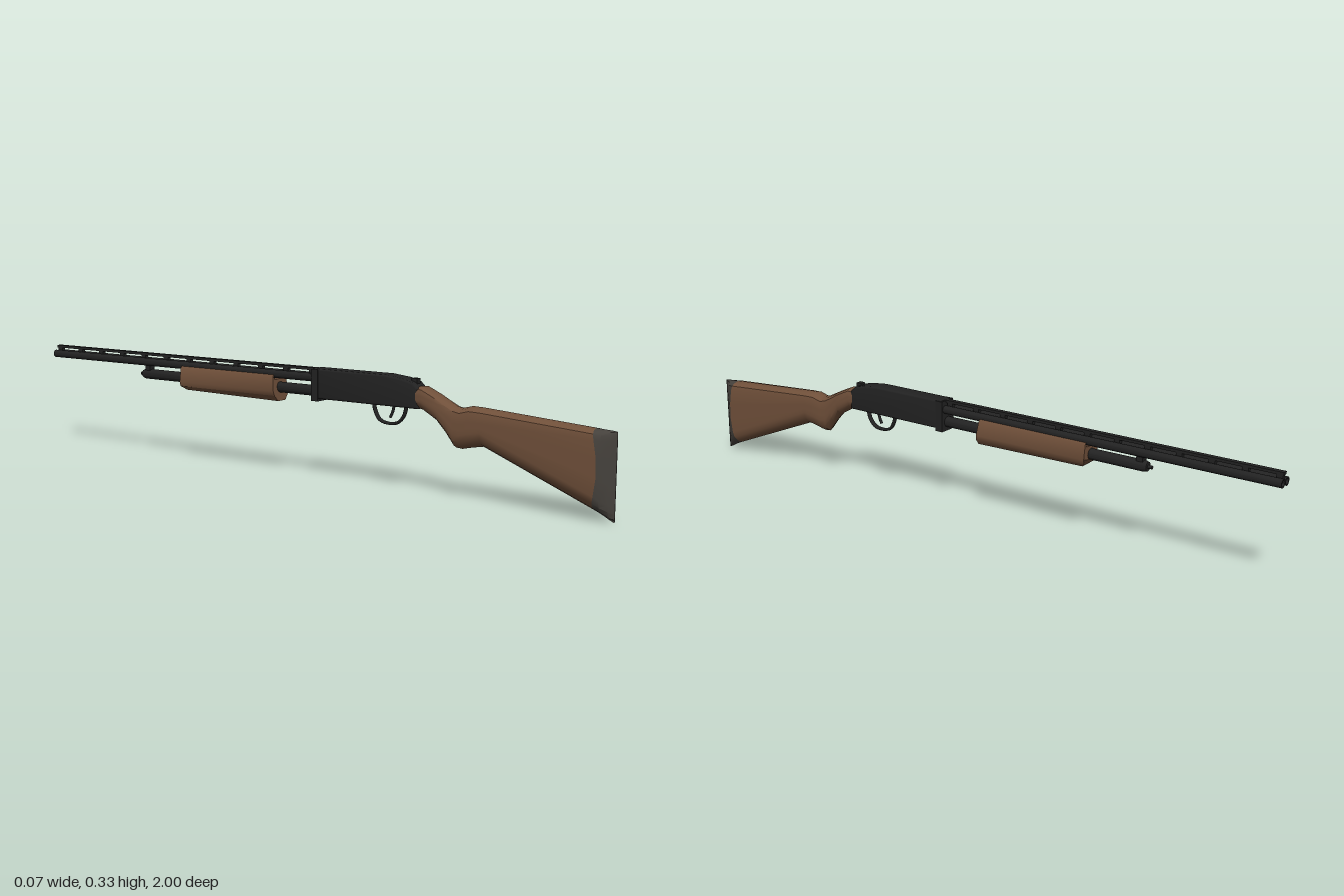
import * as THREE from 'three';
import { toCreasedNormals } from 'three/addons/utils/BufferGeometryUtils.js';

const mat = (name, color) => {
  const m = new THREE.MeshStandardMaterial({ color });
  m.name = name;
  return m;
};

// Closed skin through rings of [x, y, z] points, rings ordered toward +z
function loft(rings) {
  const n = rings[0].length, pos = rings.flat(2), idx = [];
  for (let i = 0; i < rings.length - 1; i++) {
    for (let j = 0; j < n; j++) {
      const a = i * n + j, b = i * n + (j + 1) % n;
      idx.push(a, b + n, b, a, a + n, b + n);
    }
  }
  const last = (rings.length - 1) * n;
  for (let j = 1; j < n - 1; j++) {
    idx.push(0, j, j + 1, last, last + j + 1, last + j);
  }
  const g = new THREE.BufferGeometry();
  g.setAttribute('position', new THREE.Float32BufferAttribute(pos, 3));
  g.setIndex(idx);
  return toCreasedNormals(g, 0.6);
}

// Rounded stock cross-section; bow bends the ring along z at mid height
function stockRing([z, top, bottom, w, bow = 0]) {
  const h = top - bottom, k = Math.min(1, h / 0.1);
  const hi = top - 0.026 * k, lo = bottom + 0.04 * k;
  const half = [
    [0, top], [0.6, top - 0.004 * k], [0.9, top - 0.012 * k], [1, hi],
    [1, hi + (lo - hi) / 3], [1, hi + (lo - hi) * 2 / 3], [1, lo],
    [0.88, bottom + 0.022 * k], [0.5, bottom + 0.008 * k], [0, bottom],
  ];
  const mirrored = half.slice(1, -1).reverse().map(([x, y]) => [-x, y]);
  return [...half, ...mirrored].map(([x, y]) =>
    [x * w, y, z + bow * Math.sin(Math.PI * (y - bottom) / h)]);
}

export function createModel() {
  const group = new THREE.Group();
  const metal = mat('black metal', 0x222222);
  const wood = mat('brown wood', 0x70503a);
  const rubber = mat('grey rubber', 0x45413c);

  const add = (name, geometry, material = metal) => {
    const m = new THREE.Mesh(geometry, material);
    m.name = name;
    group.add(m);
    return m;
  };
  const box = (name, w, y0, y1, z0, z1) => {
    const g = new THREE.BoxGeometry(w, y1 - y0, z1 - z0);
    return add(name, g.translate(0, (y0 + y1) / 2, (z0 + z1) / 2));
  };
  // Turned part running from zBack toward -z
  const turned = (name, points, x, y, zBack) => {
    const g = new THREE.LatheGeometry(points.map(p => new THREE.Vector2(...p)), 20);
    g.rotateX(-Math.PI / 2).translate(x, y, zBack);
    return add(name, toCreasedNormals(g, 0.6));
  };

  // Shoulder stock with wrist and grip
  const seam = [0.942, 0.242, 0.028, 0.032, 0.016];
  add('stock', loft([
    [0.412, 0.306, 0.246, 0.025],
    [0.435, 0.309, 0.24, 0.029],
    [0.48, 0.289, 0.214, 0.029],
    [0.51, 0.274, 0.18, 0.028],
    [0.535, 0.262, 0.147, 0.028],
    [0.555, 0.258, 0.145, 0.029],
    [0.585, 0.266, 0.152, 0.03],
    [0.62, 0.265, 0.158, 0.03],
    seam,
  ].map(stockRing)), wood);

  // Butt pad, drawn to a ridge at the back
  add('buttPad', loft([
    seam,
    [0.965, 0.24, 0.018, 0.028],
    [0.985, 0.239, 0.007, 0.014],
    [1.0, 0.237, 0.0, 0.001],
  ].map(stockRing)), rubber);

  // Receiver, extruded across its width from a side profile
  const b = 0.006;
  const side = new THREE.Shape([
    [0.425, 0.245], [0.425, 0.302], [0.408, 0.318], [0.375, 0.327],
    [0.32, 0.333], [0.07, 0.333], [0.07, 0.245],
  ].map(([z, y]) => new THREE.Vector2(z, y)));
  const receiver = new THREE.ExtrudeGeometry(side, {
    depth: 0.052 - 2 * b, bevelSize: b, bevelThickness: b, bevelOffset: -b, bevelSegments: 3,
  });
  receiver.rotateY(-Math.PI / 2).translate(0.026 - b, 0, 0);
  add('receiver', toCreasedNormals(receiver, 0.6));
  box('receiverCollar', 0.055, 0.238, 0.331, 0.066, 0.09);
  box('safetyCatch', 0.018, 0.312, 0.328, 0.395, 0.413);

  // Trigger and guard: flattened tubes in the centre plane
  const loop = (name, points, r, flat) => {
    const curve = new THREE.CatmullRomCurve3(points.map(([z, y]) => new THREE.Vector3(0, y, z)));
    add(name, new THREE.TubeGeometry(curve, 32, r, 8).scale(flat, 1, 1));
  };
  loop('triggerGuard', [
    [0.376, 0.25], [0.366, 0.217], [0.346, 0.197], [0.312, 0.193],
    [0.286, 0.202], [0.272, 0.225], [0.266, 0.25],
  ], 0.0045, 1.8);
  loop('trigger', [[0.335, 0.25], [0.33, 0.228], [0.322, 0.21]], 0.004, 1.2);

  // Paired barrels with open bores
  const r = 0.0122, len = 1.07;
  for (const s of [1, -1]) {
    turned(s > 0 ? 'leftBarrel' : 'rightBarrel', [
      [r, 0], [r, len], [0.0085, len], [0.0085, len - 0.04], [0, len - 0.04],
    ], s * 0.012, 0.305, 0.07);
  }

  // Ventilated sighting rib on posts
  box('rib', 0.016, 0.325, 0.333, -0.998, 0.07);
  for (let i = 0; i < 12; i++) {
    const z = 0.053 - i * 0.0945;
    box('ribPost', 0.012, 0.303, 0.327, z - 0.009, z + 0.009);
  }

  // Magazine tube, end cap and barrel bracket
  turned('magazineTube', [
    [0.016, 0], [0.016, 0.67], [0.013, 0.68], [0.005, 0.68], [0.005, 0.693], [0, 0.693],
  ], 0, 0.265, 0.07);
  box('barrelBracket', 0.02, 0.265, 0.3, -0.598, -0.578);

  // Sliding fore-end: a cradle section with slanted ends
  const half = [
    [0.018, 0.225], [0.033, 0.242], [0.037, 0.256], [0.031, 0.298], [0.027, 0.304], [0.024, 0.29],
  ];
  const outline = [...half, ...half.slice().reverse().map(([x, y]) => [-x, y])];
  const grip = new THREE.ExtrudeGeometry(
    new THREE.Shape(outline.map(p => new THREE.Vector2(...p))),
    { depth: 0.36, bevelEnabled: false });
  grip.translate(0, 0, -0.43);
  const p = grip.attributes.position;
  for (let i = 0; i < p.count; i++) {
    const y = p.getY(i), z = p.getZ(i);
    if (z > -0.2) p.setZ(i, z + (0.3 - y) * 0.13);
    else if (y < 0.235) p.setXYZ(i, p.getX(i), y + 0.005, z + 0.015);
  }
  add('foreEnd', toCreasedNormals(grip, 0.5), wood);

  return group;
}
